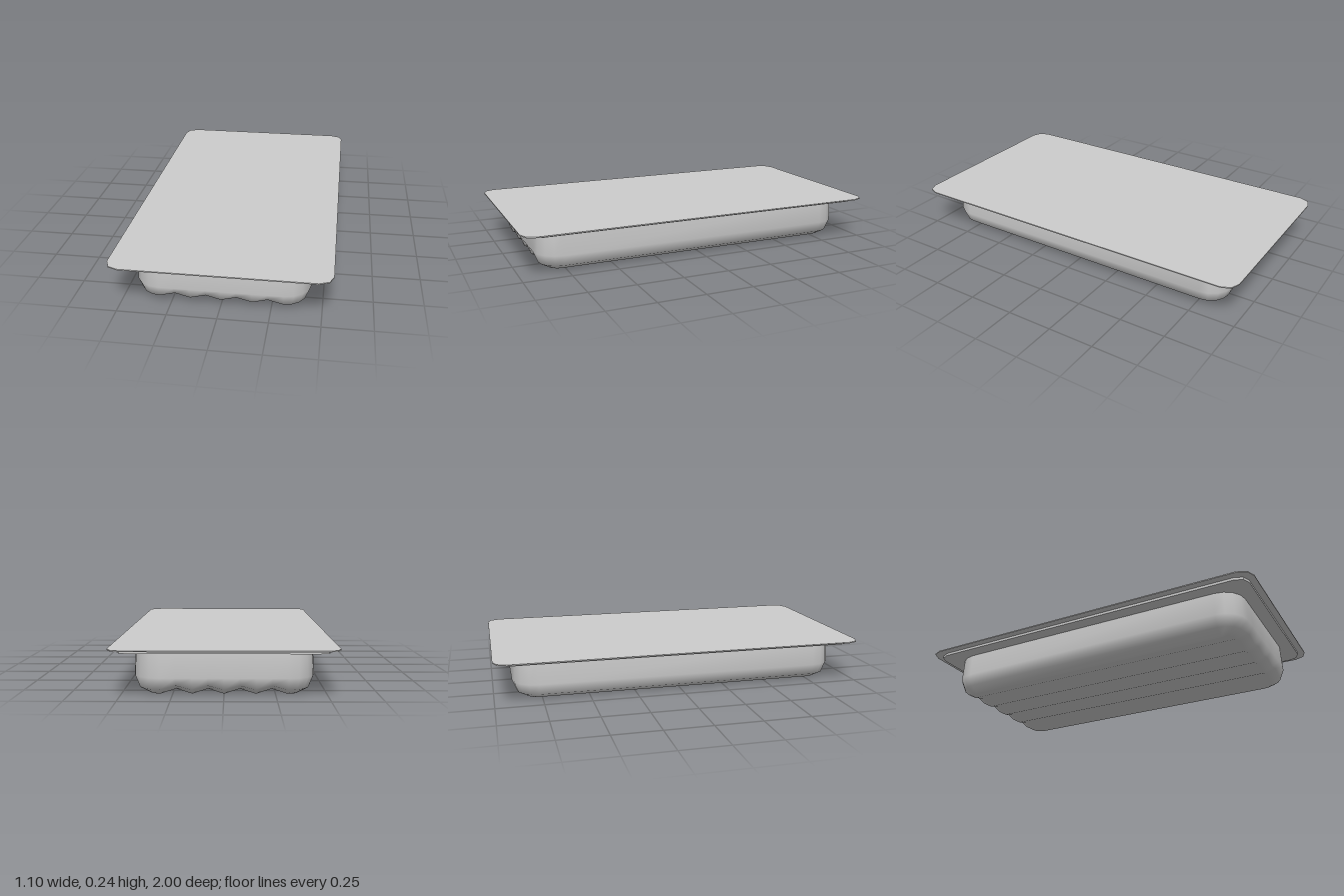
import * as THREE from 'three';

const CX = 0.31, CZ = 0.77; // centres of the tray's corner arcs
const CORNER = 4, WAVES = 8;

// Outline of a rectangle with faceted round corners
function roundedOutline(hx, hz, r, segs) {
  const pts = [];
  [[1, 1], [-1, 1], [-1, -1], [1, -1]].forEach(([sx, sz], q) => {
    for (let i = 0; i <= segs; i++) {
      const a = (q + i / segs) * Math.PI / 2;
      pts.push(new THREE.Vector2(sx * (hx - r) + r * Math.cos(a), sz * (hz - r) + r * Math.sin(a)));
    }
  });
  return pts;
}

// Flat horizontal plate, optionally with an opening
function plate(outline, y0, y1, opening) {
  const shape = new THREE.Shape(outline);
  if (opening) shape.holes.push(new THREE.Path(opening));
  const geo = new THREE.ExtrudeGeometry(shape, { depth: y1 - y0, bevelEnabled: false });
  return geo.rotateX(-Math.PI / 2).translate(0, y0, 0);
}

// One ring of the tray: front half, then its mirror at the back
function trayRing(r, y, lift) {
  const half = [];
  const corner = (sx, from) => {
    for (let i = 0; i <= CORNER; i++) {
      const a = from + (i / CORNER) * Math.PI / 2;
      half.push([sx * CX + r * Math.cos(a), y, CZ + r * Math.sin(a)]);
    }
  };
  corner(1, 0);
  for (let i = 1; i < WAVES; i++) {
    half.push([CX * (1 - 2 * i / WAVES), y + (i % 2 ? lift : 0), CZ + r]);
  }
  corner(-1, Math.PI / 2);
  return [...half, ...half.map(([x, py, z]) => [x, py, -z]).reverse()];
}

function trayGeometry() {
  // corner radius, height, groove lift
  const rings = [
    [0.055, 0, 0.025], [0.108, 0.03, 0.02], [0.132, 0.09, 0], [0.125, 0.22, 0],
  ].map(p => trayRing(...p));
  const n = rings[0].length, idx = [];
  // walls
  for (let k = 0; k < rings.length - 1; k++) {
    for (let i = 0; i < n; i++) {
      const j = (i + 1) % n;
      const a = k * n + i, b = k * n + j, c = a + n, d = b + n;
      idx.push(b, a, c, b, c, d);
    }
  }
  // grooved floor: strips running from front to back
  for (let i = 0; i < n / 2 - 1; i++) {
    idx.push(i, i + 1, n - 2 - i, i, n - 2 - i, n - 1 - i);
  }
  const geo = new THREE.BufferGeometry();
  geo.setAttribute('position', new THREE.Float32BufferAttribute(rings.flat(2), 3));
  geo.setIndex(idx);
  geo.computeVertexNormals();
  return geo;
}

export function createModel() {
  const group = new THREE.Group();
  group.name = 'sealedTray';
  const add = (name, geo, side = THREE.FrontSide) => {
    const mesh = new THREE.Mesh(geo, new THREE.MeshStandardMaterial({ color: 0xcccccc, side }));
    mesh.name = name;
    group.add(mesh);
  };

  add('trayBody', trayGeometry(), THREE.DoubleSide);
  add('trayRim', plate(roundedOutline(0.51, 0.965, 0.06, 2), 0.218, 0.232,
    roundedOutline(CX + 0.125, CZ + 0.125, 0.125, CORNER)));
  add('lidFilm', plate(roundedOutline(0.55, 1, 0.07, 2), 0.232, 0.238));
  return group;
}
